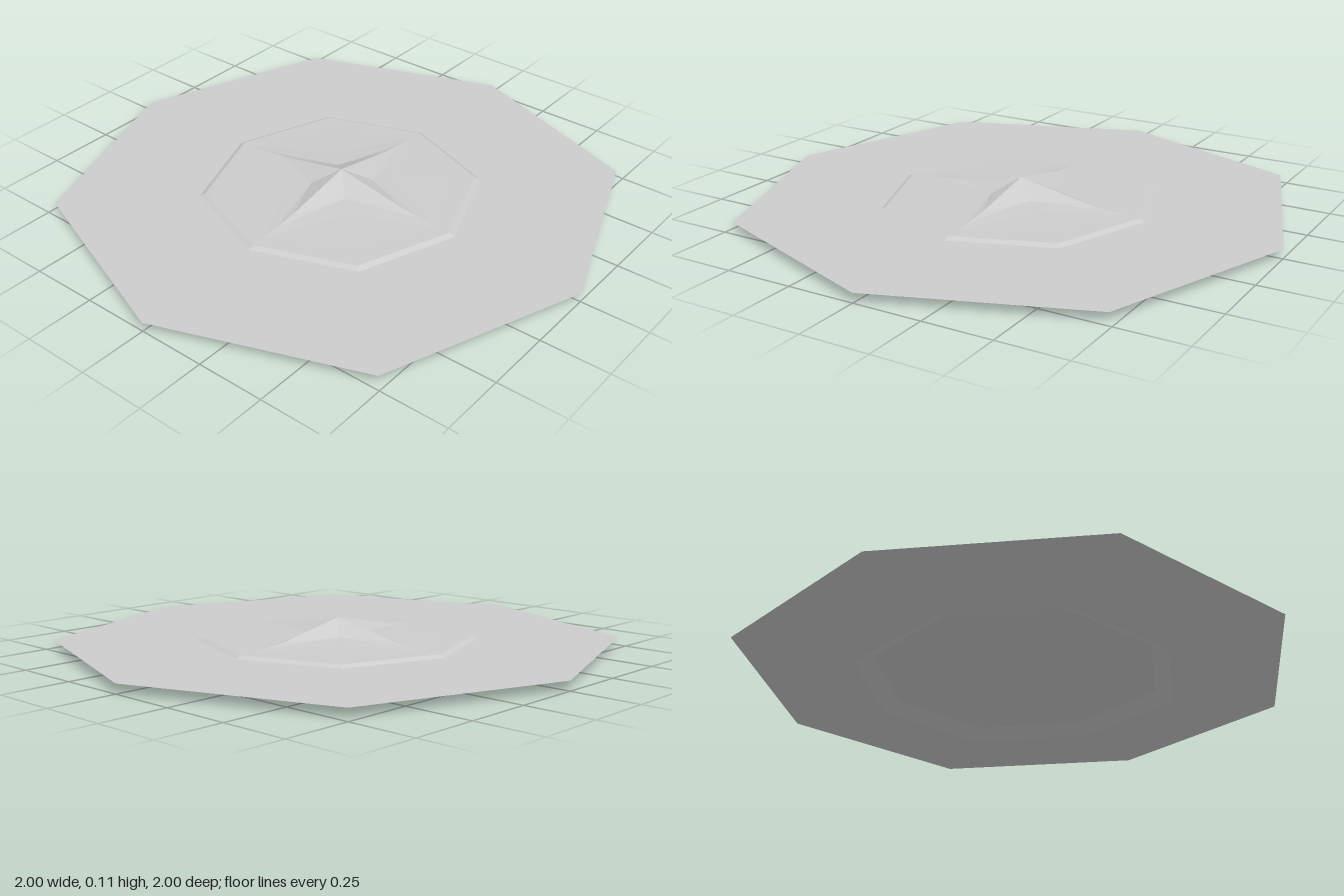
import * as THREE from 'three';

const DIAG = 0.73; // corner coordinate relative to the axis radius

// regular ring: same height all round
const oct = (r, y) => [r, y, r * DIAG, y];

// Skins a list of eight-point rings [axisRadius, axisY, cornerCoord, cornerY].
// Rings running outwards face up, rings running inwards face down.
function loft(name, rings, material) {
  const point = ([r, y, c, cy], k) => {
    const a = (k % 8) * Math.PI / 4;
    if (k % 2 === 0) return [Math.cos(a) * r, y, -Math.sin(a) * r];
    return [Math.sign(Math.cos(a)) * c, cy, -Math.sign(Math.sin(a)) * c];
  };
  const pos = [];
  const tri = (...pts) => pts.forEach((p) => pos.push(...p));
  for (let i = 0; i < rings.length - 1; i++) {
    for (let k = 0; k < 8; k++) {
      const a = point(rings[i], k), b = point(rings[i + 1], k);
      const c = point(rings[i + 1], k + 1), d = point(rings[i], k + 1);
      if (rings[i][0] === 0) tri(a, b, c);
      else if (rings[i + 1][0] === 0) tri(a, b, d);
      else if (k % 2 === 0) { tri(a, b, d); tri(b, c, d); } // mirrored split
      else { tri(a, b, c); tri(a, c, d); }
    }
  }
  const geometry = new THREE.BufferGeometry();
  geometry.setAttribute('position', new THREE.Float32BufferAttribute(pos, 3));
  geometry.computeVertexNormals();
  const mesh = new THREE.Mesh(geometry, material);
  mesh.name = name;
  return mesh;
}

export function createModel() {
  const group = new THREE.Group();
  group.name = 'octagonalPlate';
  const grey = new THREE.MeshStandardMaterial({ color: 0xcccccc, flatShading: true });
  grey.name = 'plain grey';

  // flat brim and the bevelled step up to the middle
  group.add(loft('brim', [oct(0.48, 0.044), oct(0.5, 0.034), oct(1, 0.034)], grey));

  // four-pointed star with ridges along the axes
  const starFoot = [0.27, 0.06, 0.08, 0.06];
  group.add(loft('star', [[0, 0.113, 0, 0.113], starFoot], grey));

  // low stepped relief spreading from the star to the step
  group.add(loft('relief', [
    starFoot,
    [0.36, 0.05, 0.14, 0.054],
    [0.43, 0.045, 0.27, 0.046],
    oct(0.48, 0.044),
  ], grey));

  // underside: shallow slope in from the rim, then a bevelled recess
  group.add(loft('underside', [
    oct(1, 0.034), oct(0.585, 0), oct(0.52, 0.033), oct(0, 0.033),
  ], grey));

  return group;
}
